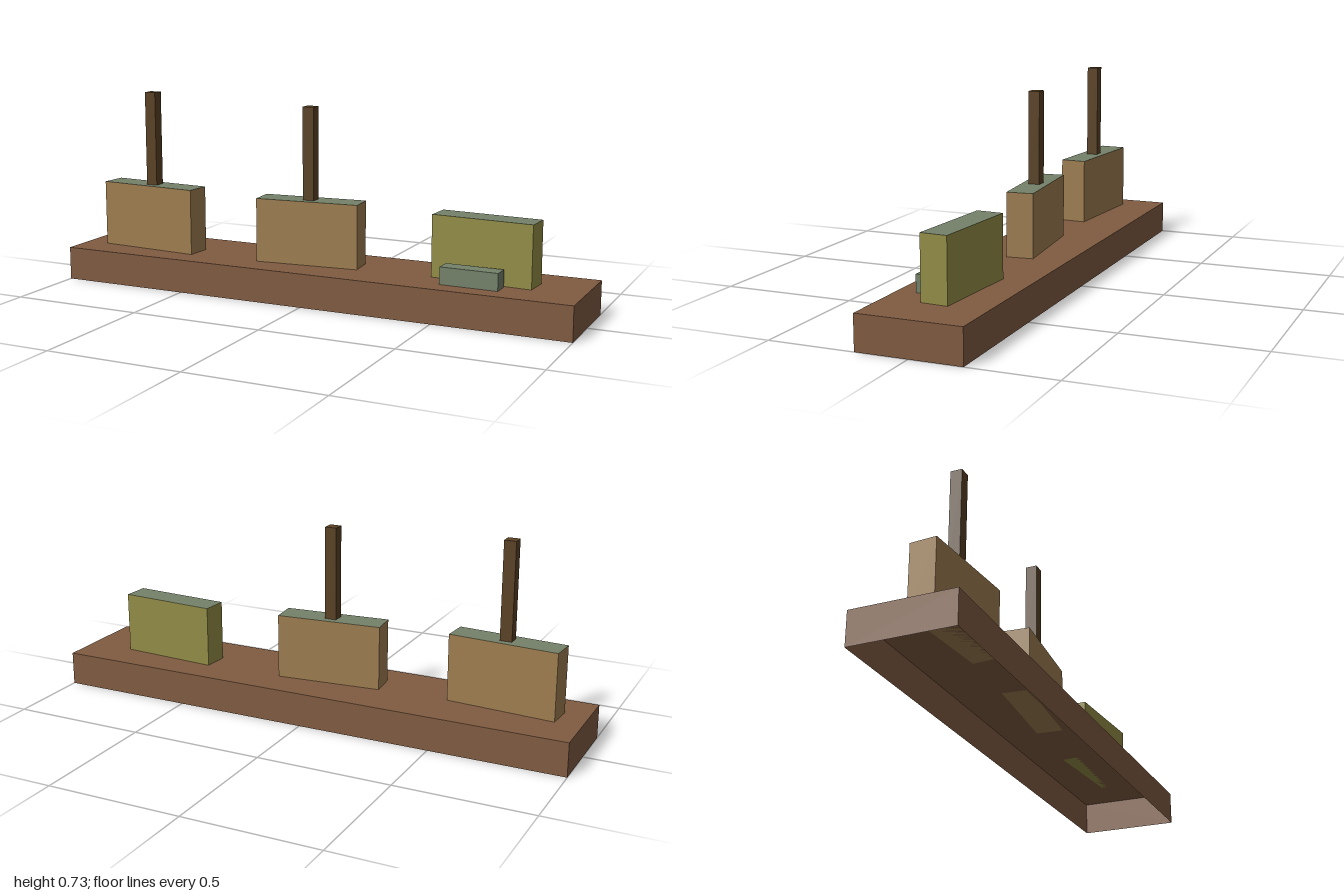
import * as THREE from 'three';

const mat = (name, color, side = THREE.FrontSide) => {
  const m = new THREE.MeshStandardMaterial({ color, side });
  m.name = name;
  return m;
};

export function createModel() {
  const group = new THREE.Group();
  const soil = mat('baseBrown', 0x805b41, THREE.DoubleSide);
  const tan = mat('blockTan', 0x9d7d50);
  const olive = mat('blockOlive', 0x928c46);
  const moss = mat('mossGreen', 0x74816a);
  const wood = mat('postBrown', 0x5a4123);
  const baseTop = 0.125;

  // Box standing on y = bottom, turned about its own centre
  const block = (name, [w, top, d], [x, bottom, z], turn, material) => {
    const h = top - bottom;
    const mesh = new THREE.Mesh(new THREE.BoxGeometry(w, h, d), material);
    mesh.name = name;
    mesh.position.set(x, bottom + h / 2, z);
    mesh.rotation.y = turn;
    group.add(mesh);
    return mesh;
  };
  // Side colour with a green top face
  const capped = (side) => [side, side, moss, side, side, side];

  // Base: hollow slab with an open underside
  const base = block('base', [2, baseTop, 0.375], [0, 0, 0], 0, soil);
  const index = Array.from(base.geometry.index.array);
  index.splice(18, 6);
  base.geometry.setIndex(index);
  base.geometry.clearGroups();

  // Wall blocks
  block('leftEndBlock', [0.375, 0.352, 0.098], [0.632, baseTop, -0.011], -0.064, capped(olive));
  block('middleBlock', [0.394, 0.363, 0.1], [-0.04, baseTop, 0.011], 0.091, capped(tan));
  block('rightEndBlock', [0.405, 0.373, 0.098], [-0.706, baseTop, 0.027], -0.073, capped(tan));

  // Small fallen block in front
  block('smallBlock', [0.213, 0.188, 0.062], [0.612, baseTop, 0.085], -0.02, moss);

  // Posts rising from two of the blocks
  block('middlePost', [0.044, 0.707, 0.043], [-0.04, 0.363, 0.011], 0, wood);
  block('rightEndPost', [0.044, 0.731, 0.043], [-0.705, 0.373, 0.027], 0, wood);

  return group;
}
